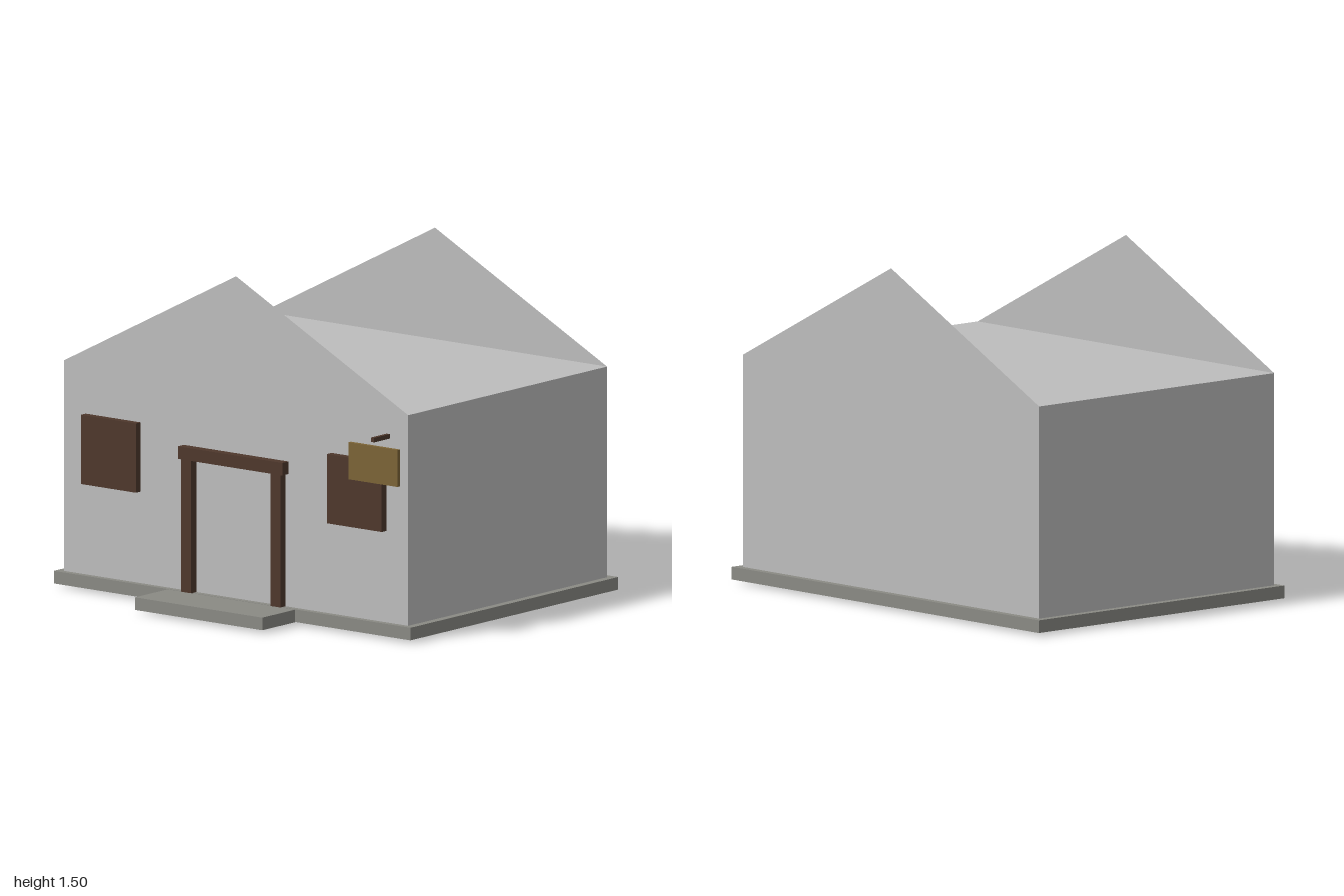
import * as THREE from 'three';

export function createModel() {
  const model = new THREE.Group();
  model.name = 'house';

  const material = (name, color, side = THREE.FrontSide) => {
    const m = new THREE.MeshStandardMaterial({ color, side });
    m.name = name;
    return m;
  };
  // The gables are open sheets, so the plaster is double sided
  const plaster = material('plaster', 0xbdbdbd, THREE.DoubleSide);
  const stone = material('stone', 0x8a8a84);
  const wood = material('darkWood', 0x4e382c);
  const board = material('signWood', 0x7c6436);

  // Box given by its extents on each axis
  const box = (name, mat, [x0, x1], [y0, y1], [z0, z1]) => {
    const mesh = new THREE.Mesh(new THREE.BoxGeometry(x1 - x0, y1 - y0, z1 - z0), mat);
    mesh.position.set((x0 + x1) / 2, (y0 + y1) / 2, (z0 + z1) / 2);
    mesh.name = name;
    model.add(mesh);
  };

  const front = 0.577, back = -0.803, halfWidth = 0.965, eaves = 1.007, ridge = 1.503;

  // Foundation, doorstep and walls
  box('foundation', stone, [-1, 1], [0.014, 0.07], [-0.837, 0.605]);
  box('doorstep', stone, [-0.357, 0.357], [0.014, 0.07], [0.611, 0.837]);
  box('walls', plaster, [-halfWidth, halfWidth], [0.02, eaves], [back, front]);

  // Thin triangular gables standing above the front and back walls
  const triangle = new THREE.Shape([
    new THREE.Vector2(-halfWidth, eaves),
    new THREE.Vector2(halfWidth, eaves),
    new THREE.Vector2(0, ridge),
  ]);
  for (const [name, z] of [['frontGable', front], ['backGable', back]]) {
    const gable = new THREE.Mesh(new THREE.ShapeGeometry(triangle), plaster);
    gable.position.z = z;
    if (z === back) gable.rotation.y = Math.PI;
    gable.name = name;
    model.add(gable);
  }

  // Door posts and shuttered windows, mirrored left and right
  for (const [side, s] of [['left', 1], ['right', -1]]) {
    const span = (a, b) => (s > 0 ? [a, b] : [-b, -a]);
    box(side + 'DoorPost', wood, span(0.222, 0.278), [0, 0.66], [0.575, 0.614]);
    box(side + 'Window', wood, span(0.535, 0.843), [0.477, 0.785], [0.572, 0.61]);
  }
  box('doorLintel', wood, [-0.293, 0.293], [0.66, 0.716], [0.572, 0.619]);

  // Hanging sign and its bracket
  box('signBracket', wood, [0.845, 0.862], [0.89, 0.91], [0.573, 0.686]);
  box('signBoard', board, [0.717, 0.992], [0.708, 0.872], [0.667, 0.686]);

  return model;
}
